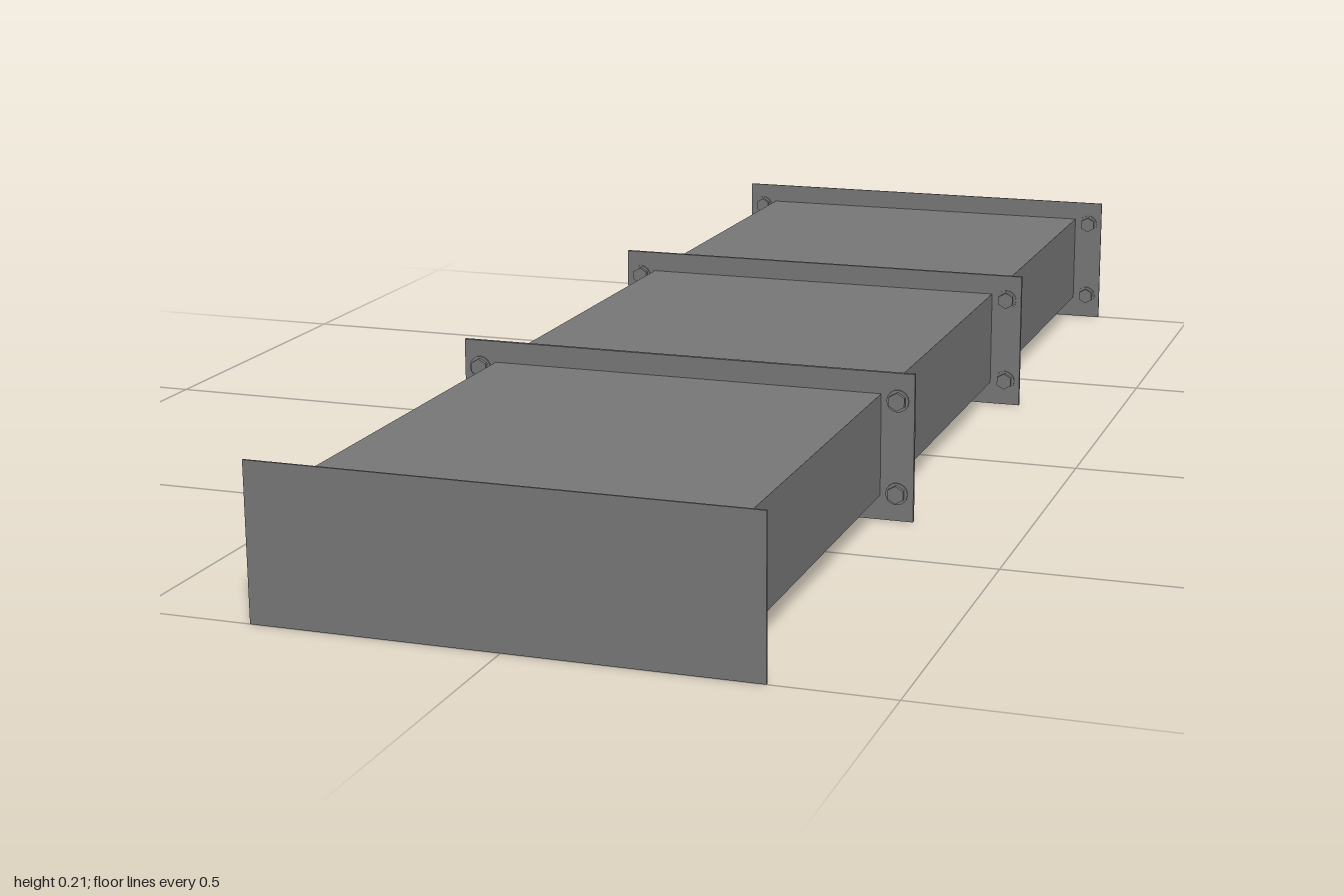
import * as THREE from 'three';

export function createModel() {
  const group = new THREE.Group();
  const mat = new THREE.MeshStandardMaterial({ color: 0x787878, flatShading: true });
  const add = (name, geometry, x, y, z) => {
    const mesh = new THREE.Mesh(geometry, mat);
    mesh.name = name;
    mesh.position.set(x, y, z);
    group.add(mesh);
  };

  const midY = 0.1065, length = 2 / 3, plate = 0.003;
  const duct = new THREE.BoxGeometry(0.58, 0.147, length - 2 * plate);
  const flange = new THREE.BoxGeometry(0.676, 0.213, plate);
  const washer = new THREE.CylinderGeometry(0.016, 0.016, 0.002, 16).rotateX(Math.PI / 2);
  const bolt = new THREE.CylinderGeometry(0.013, 0.013, 0.006, 6).rotateX(Math.PI / 2);

  // three identical duct sections, end to end
  for (const i of [-1, 0, 1]) {
    const z = i * length;
    add('ductSection', duct, 0, midY + 0.002, z);

    // a thin flange on each end, so neighbours meet as a pair
    for (const end of [-1, 1]) {
      add('flange', flange, 0, midY, z + end * (length - plate) / 2);

      // washers and hex bolts on the inner face, near the corners
      const face = length / 2 - plate;
      for (const sx of [-1, 1]) for (const sy of [-1, 1]) {
        const x = sx * 0.314, y = midY + sy * 0.067;
        add('washer', washer, x, y, z + end * (face - 0.001));
        add('bolt', bolt, x, y, z + end * (face - 0.005));
      }
    }
  }
  return group;
}
